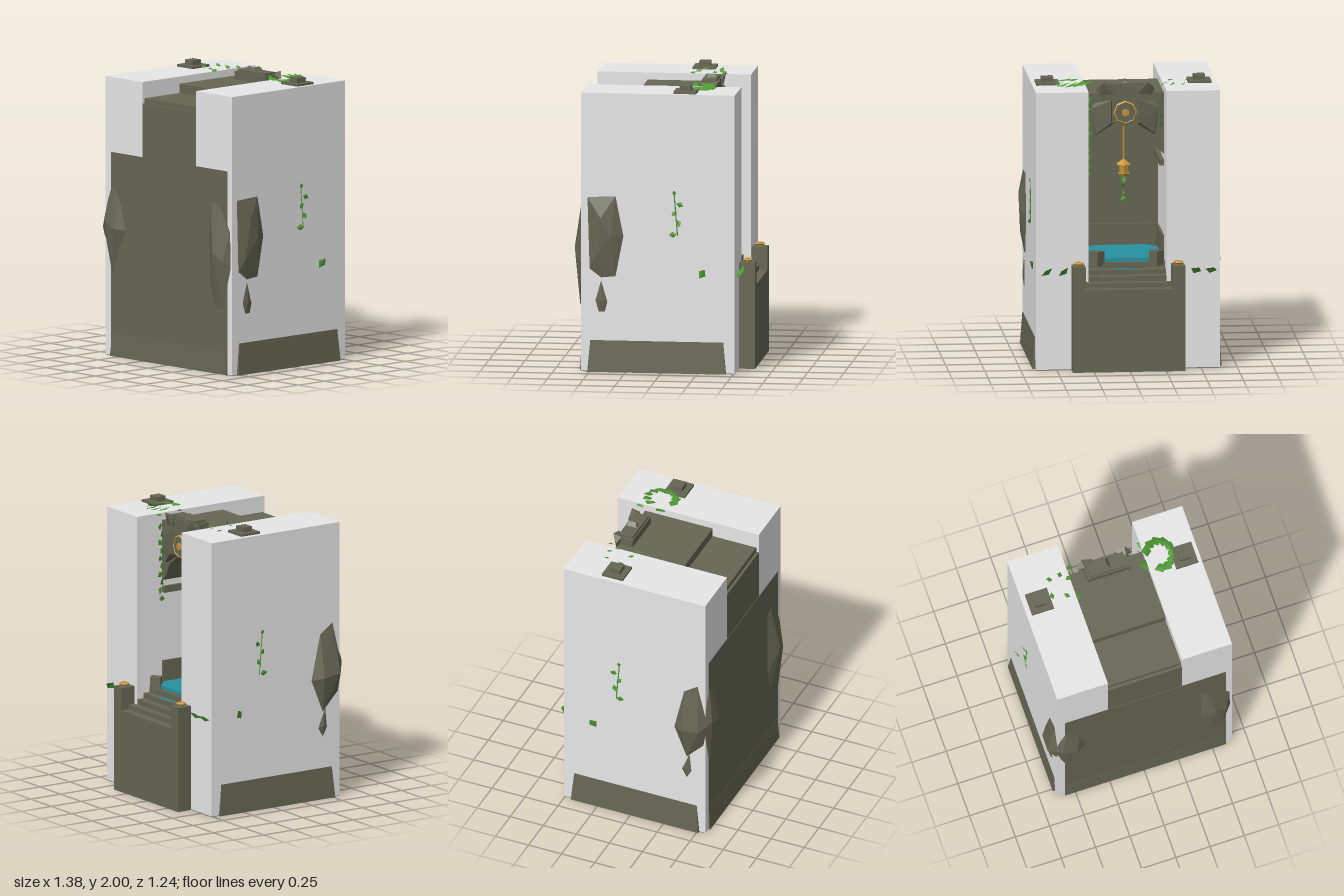
import * as THREE from 'three';
import { ConvexGeometry } from 'three/addons/geometries/ConvexGeometry.js';

const mat = (name, color, extra = {}) => {
  const m = new THREE.MeshStandardMaterial({ color, flatShading: true, ...extra });
  m.name = name;
  return m;
};

export function createModel() {
  const model = new THREE.Group();
  model.name = 'shrine';
  const wall = mat('pale wall', 0xe7e7e7);
  const stone = mat('olive stone', 0x656653);
  const gold = mat('gold', 0xc59338);
  const teal = mat('teal', 0x28909f);
  const green = mat('leaf green', 0x4f9a34, { side: THREE.DoubleSide });

  const add = (name, geo, m, x = 0, y = 0, z = 0) => {
    const mesh = new THREE.Mesh(geo, m);
    mesh.name = name;
    mesh.position.set(x, y, z);
    model.add(mesh);
    return mesh;
  };
  // Box given by its limits on each axis
  const box = (name, m, x0, x1, y0, y1, z0, z1) =>
    add(name, new THREE.BoxGeometry(x1 - x0, y1 - y0, z1 - z0), m,
      (x0 + x1) / 2, (y0 + y1) / 2, (z0 + z1) / 2);
  const rock = (name, pts) =>
    add(name, new ConvexGeometry(pts.map(p => new THREE.Vector3(...p))), stone);

  // Pale side walls and the ground slab
  box('rightWall', wall, -0.63, -0.26, 0.004, 1.95, -0.51, 0.56);
  box('leftWall', wall, 0.28, 0.645, 0.004, 1.95, -0.51, 0.56);
  box('groundSlab', stone, -0.628, 0.643, 0, 0.006, -0.508, 0.558);

  // Front block, its broad panel and the stepped roof
  box('frontBlock', stone, -0.26, 0.28, 0.004, 1.8, 0.15, 0.559);
  box('frontPanel', stone, -0.575, 0.6, 0.004, 1.425, 0.5, 0.563);
  box('lowerRoof', stone, -0.26, 0.28, 1.79, 1.835, 0.15, 0.54);
  box('upperRoof', stone, -0.26, 0.28, 1.82, 1.9, -0.3, 0.21);

  // Faceted vault over the chamber
  const vault = new THREE.Shape([
    [-0.26, 1.83], [-0.26, 1.47], [-0.22, 1.5], [-0.17, 1.6], [-0.08, 1.67],
    [0.1, 1.67], [0.19, 1.6], [0.24, 1.5], [0.28, 1.47], [0.28, 1.83],
  ].map(p => new THREE.Vector2(...p)));
  add('vault', new THREE.ExtrudeGeometry(vault, { depth: 0.45, bevelEnabled: false }), stone, 0, 0, -0.3);

  // Skirting wedges around the foot
  const wedge = (name, x0, x1, z0, z1, h, inX, inZ) => {
    const pts = [];
    for (const [y, ix, iz] of [[0, 0, 0], [h, inX, inZ]])
      for (const x of [x0 + ix, x1 - ix]) for (const z of [z0 + iz, z1 - iz]) pts.push([x, y, z]);
    rock(name, pts);
  };
  wedge('leftSkirting', 0.56, 0.665, -0.45, 0.515, 0.22, 0.014, 0.02);
  wedge('rightSkirting', -0.647, -0.54, -0.45, 0.515, 0.22, 0.014, 0.02);
  wedge('frontSkirting', -0.575, 0.6, 0.48, 0.573, 0.165, 0.018, 0.008);

  // Chamber floor, low inner walls and rails
  box('chamberFloor', stone, -0.26, 0.28, 0.004, 0.73, -0.4, 0.15);
  for (const [side, x] of [['right', -0.26], ['left', 0.28]]) {
    const s = Math.sign(x);
    const strip = (name, w, y0, y1, z0) =>
      box(side + name, stone, Math.min(x, x - s * w), Math.max(x, x - s * w), y0, y1, z0, 0.15);
    strip('Wainscot', 0.015, 0.73, 0.9, -0.3);
    strip('Rail', 0.03, 1.385, 1.43, -0.3);
  }
  box('rearWainscot', stone, -0.26, 0.28, 0.73, 0.9, 0.13, 0.15);

  // Chamfered pool
  const pool = new THREE.Shape([
    [-0.17, 0.38], [0.18, 0.38], [0.26, 0.3], [0.26, -0.04], [0.18, -0.12],
    [-0.17, -0.12], [-0.245, -0.04], [-0.245, 0.3],
  ].map(p => new THREE.Vector2(...p)));
  add('pool', new THREE.ExtrudeGeometry(pool, { depth: 0.025, bevelEnabled: false }), teal, 0, 0.73, 0)
    .rotation.x = -Math.PI / 2;

  // Rear porch with stairs, corner posts and gold finials
  box('porch', stone, -0.38, 0.4, 0, 0.58, -0.62, -0.5);
  for (let i = 0; i < 4; i++)
    box('stair', stone, i ? -0.26 : -0.29, i ? 0.28 : 0.31, 0.1, 0.615 + i * 0.037, -0.56 + i * 0.052, -0.35);
  box('stairInlay', teal, -0.06, 0.09, 0.69, 0.696, -0.446, -0.434);
  for (const x of [-0.335, 0.355]) {
    box('porchPost', stone, x - 0.045, x + 0.045, 0, 0.74, -0.62, -0.5);
    add('finialBase', new THREE.CylinderGeometry(0.028, 0.02, 0.018, 6), gold, x, 0.747, -0.565);
    add('finialRim', new THREE.TorusGeometry(0.029, 0.008, 4, 6), gold, x, 0.757, -0.565).rotation.x = Math.PI / 2;
    add('finialKnob', new THREE.CylinderGeometry(0.012, 0.016, 0.02, 6), gold, x, 0.76, -0.565);
  }
  for (const x of [-0.2, 0.215]) {
    add('cornerBlock', new THREE.BoxGeometry(0.075, 0.1, 0.075), stone, x, 0.76, -0.395).rotation.y = Math.PI / 4;
  }

  // Crest above the doorway
  box('crestBlock', stone, -0.145, 0.165, 1.7, 1.955, -0.325, -0.205);
  box('crestCap', stone, -0.125, 0.145, 1.95, 1.972, -0.315, -0.215);
  rock('crestPeak', [[-0.025, 1.965, -0.31], [0.04, 1.965, -0.31], [-0.025, 1.965, -0.23],
    [0.04, 1.965, -0.23], [0.008, 1.997, -0.3], [0.008, 1.997, -0.25]]);
  for (const s of [-1, 1]) {
    const c = 0.01;
    rock('crestHorn', [[c + s * 0.08, 1.9, -0.34], [c + s * 0.08, 1.955, -0.34], [c + s * 0.16, 1.98, -0.35],
      [c + s * 0.205, 1.93, -0.31], [c + s * 0.18, 1.89, -0.32], [c + s * 0.15, 1.96, -0.29], [c + s * 0.1, 1.9, -0.29]]);
    rock('crestWing', [[c + s * 0.1, 1.86, -0.35], [c + s * 0.1, 1.7, -0.35], [c + s * 0.23, 1.8, -0.32],
      [c + s * 0.2, 1.62, -0.32], [c + s * 0.22, 1.83, -0.29], [c + s * 0.21, 1.6, -0.29], [c + s * 0.08, 1.68, -0.29], [c + s * 0.08, 1.87, -0.29]]);
  }
  add('medallionRim', new THREE.TorusGeometry(0.075, 0.009, 4, 8), gold, 0.01, 1.77, -0.335);
  add('medallionPlate', new THREE.CylinderGeometry(0.073, 0.073, 0.02, 8), stone, 0.01, 1.77, -0.33).rotation.x = Math.PI / 2;
  add('medallionBoss', new THREE.CylinderGeometry(0.026, 0.032, 0.03, 6), gold, 0.01, 1.77, -0.335).rotation.x = -Math.PI / 2;

  // Hanging lantern in the chamber
  add('lanternRod', new THREE.CylinderGeometry(0.006, 0.006, 0.3, 6), gold, 0.01, 1.53, -0.185);
  add('lanternRoof', new THREE.ConeGeometry(0.055, 0.04, 6), gold, 0.01, 1.4, -0.185);
  add('lanternBody', new THREE.CylinderGeometry(0.038, 0.03, 0.07, 6), gold, 0.01, 1.35, -0.185);
  add('lanternFoot', new THREE.CylinderGeometry(0.045, 0.035, 0.015, 6), gold, 0.01, 1.31, -0.185);

  // Stepped caps on the wall tops
  for (const x of [-0.515, 0.538]) {
    box('capBase', stone, x - 0.08, x + 0.08, 1.945, 1.966, -0.238, -0.08);
    box('capTop', stone, x - 0.04, x + 0.04, 1.96, 2, -0.198, -0.12);
  }

  // Boulders on the front corners
  rock('rightBoulder', [[-0.56, 1.21, 0.56], [-0.47, 1.09, 0.57], [-0.425, 0.89, 0.565], [-0.56, 0.59, 0.565],
    [-0.5, 0.9, 0.61], [-0.69, 0.89, 0.53], [-0.685, 0.87, 0.4], [-0.625, 0.85, 0.32], [-0.625, 1.2, 0.4],
    [-0.625, 1.27, 0.5], [-0.63, 0.62, 0.42], [-0.6, 0.95, 0.6]]);
  rock('rightSpur', [[-0.625, 0.7, 0.45], [-0.625, 0.41, 0.42], [-0.625, 0.5, 0.37], [-0.625, 0.5, 0.47], [-0.642, 0.52, 0.42]]);
  rock('leftBoulder', [[0.645, 1.22, 0.515], [0.645, 1.23, 0.32], [0.645, 0.95, 0.265], [0.645, 0.67, 0.32],
    [0.645, 0.66, 0.42], [0.645, 0.72, 0.5], [0.685, 1.08, 0.42], [0.683, 0.95, 0.35], [0.67, 0.8, 0.46]]);
  rock('leftSpur', [[0.643, 0.66, 0.42], [0.643, 0.5, 0.465], [0.643, 0.41, 0.44], [0.643, 0.41, 0.39],
    [0.643, 0.49, 0.37], [0.658, 0.5, 0.42]]);
  rock('frontBoulder', [[0.41, 1.16, 0.56], [0.45, 1.19, 0.575], [0.52, 1.19, 0.56], [0.415, 0.64, 0.56],
    [0.47, 0.45, 0.56], [0.57, 0.46, 0.575], [0.63, 0.75, 0.56], [0.625, 1.0, 0.56], [0.51, 0.85, 0.62], [0.59, 0.8, 0.605]]);

  // Folded leaf: two triangles either side of a raised midrib
  const leafGeo = new THREE.BufferGeometry();
  leafGeo.setAttribute('position', new THREE.Float32BufferAttribute(
    [0, -0.5, 0, 0.36, 0, 0, 0, 0.5, 0.15, 0, -0.5, 0, 0, 0.5, 0.15, -0.36, 0, 0], 3));
  leafGeo.computeVertexNormals();
  const leaf = (x, y, z, size, rx, ry, rz) => {
    const m = add('leaf', leafGeo, green, x, y, z);
    m.scale.setScalar(size);
    m.rotation.set(rx, ry, rz);
  };
  const up = -Math.PI / 2;
  // Ring of large leaves on the left wall top, scattered ones on the right
  for (let i = 0; i < 9; i++) {
    const a = -2.6 + i * 0.55;
    leaf(0.38 + 0.09 * Math.cos(a), 1.962, -0.22 + 0.1 * Math.sin(a), 0.1, up, 0.2, -a + 0.3);
  }
  leaf(0.27, 1.945, -0.18, 0.11, up, 0.2, 1.4);
  leaf(0.28, 1.94, -0.33, 0.07, up, -0.4, 0.6);
  [[-0.42, -0.17], [-0.4, -0.29], [-0.32, -0.3], [-0.32, -0.14], [-0.27, -0.26], [-0.25, -0.11], [-0.24, -0.33]]
    .forEach(([x, z], i) => leaf(x, 1.958, z, 0.05, up, 0.3, i * 1.3));
  // Hanging vines in the doorway and under the lantern
  for (let i = 0; i < 10; i++) {
    leaf(0.262, 1.86 - i * 0.057, -0.33 + 0.015 * (i % 2), 0.06, 0, -1.2, i * 1.9);
    if (i < 4) leaf(-0.245, 1.86 - i * 0.06, -0.32, 0.055, 0, 1.2, i * 1.9);
    if (i < 4) leaf(0.01, 1.27 - i * 0.045, -0.185, 0.055, 0, i, i * 1.7);
  }
  // Sprigs on the outer walls
  for (const [x, s] of [[0.652, 1], [-0.637, -1]]) {
    [[1.26, -0.09, 0.04], [1.18, -0.13, 0.055], [1.12, -0.09, 0.05], [1.05, -0.12, 0.055], [0.97, -0.08, 0.06]]
      .forEach(([y, z, d], i) => leaf(x, y, z, d, 0, s * 1.4, i * 1.2));
    leaf(x, 0.7, -0.285, 0.08, 0, s * 1.3, s * -0.6);
    add('vineStem', new THREE.CylinderGeometry(0.004, 0.004, 0.3, 4), green, x - s * 0.005, 1.11, -0.1).rotation.x = 0.08;
  }
  for (const x of [-0.57, -0.465, 0.455, 0.57])
    leaf(x, 0.69, -0.535, 0.09, -0.8, 0.3, x * 2);

  return model;
}
